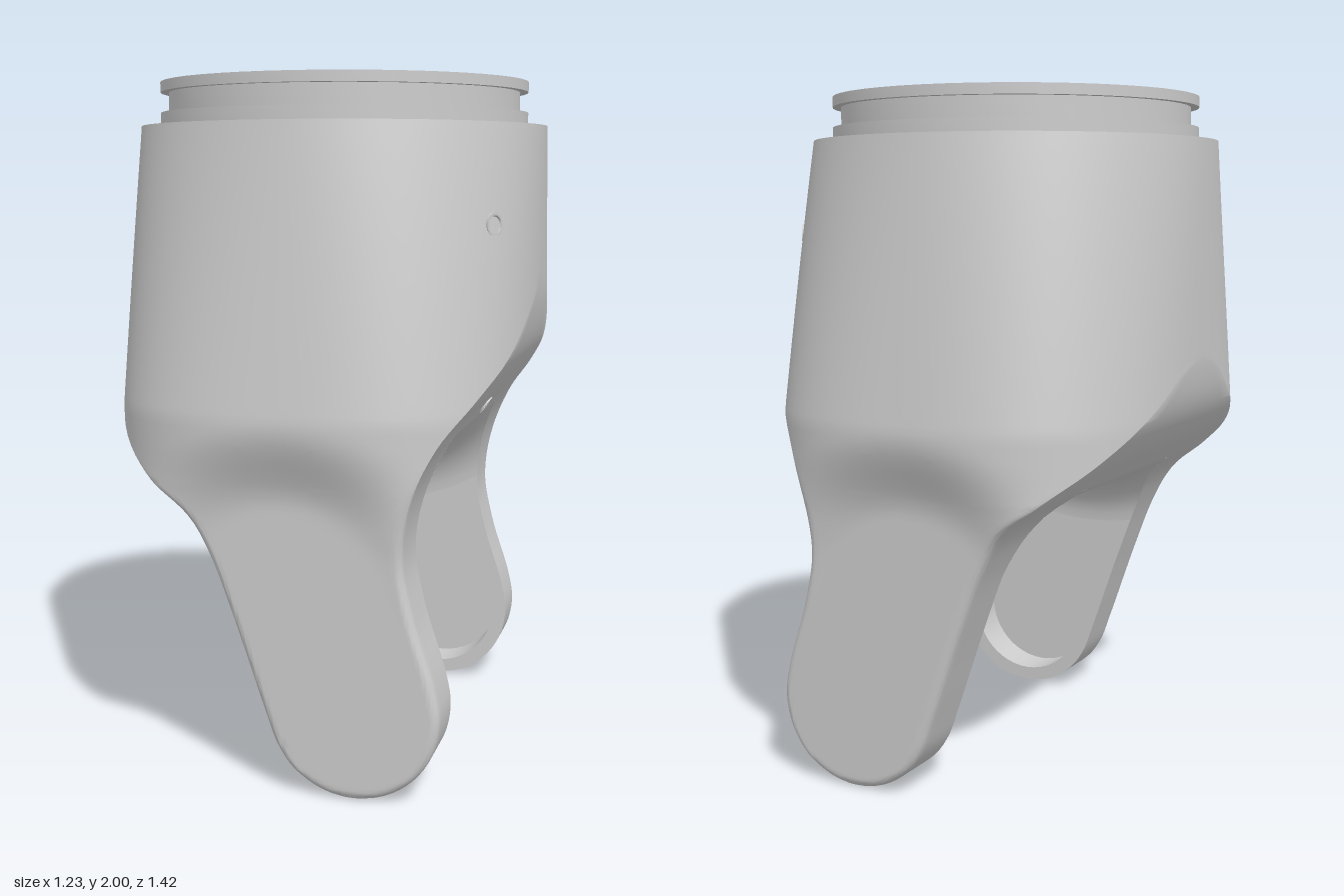
import * as THREE from 'three';
import { mergeGeometries, toCreasedNormals } from 'three/addons/utils/BufferGeometryUtils.js';

const mat = new THREE.MeshStandardMaterial({ color: 0xcccccc, side: THREE.DoubleSide });
const TIP = { x: 0.2, y: 0.245, r: 0.245 };      // rounded arm end
const BELLY = { x: -0.05, y: 1.4, r: 0.62, fillet: 0.17, flat: 0.3, z: 0.47 }; // rounded underside between the arms
const SPLIT_R = 1.0, SPLIT_L = 0.88;             // heights where the arms leave the underside
const TOP = 1.87, HALF = 0.613;

const steps = (n, a = 0, b = 1) => Array.from({ length: n + 1 }, (_, i) => a + (b - a) * i / n);

// x of a smooth side outline as a function of height
function outline(points) {
  const pts = new THREE.CatmullRomCurve3(points.map(([x, y]) => new THREE.Vector3(x, y, 0))).getSpacedPoints(400);
  return y => {
    let i = 1;
    while (i < pts.length - 1 && pts[i].y < y) i++;
    const a = pts[i - 1], b = pts[i];
    const k = THREE.MathUtils.clamp((y - a.y) / (b.y - a.y || 1), 0, 1);
    return THREE.MathUtils.clamp(a.x + (b.x - a.x) * k, -HALF, HALF);
  };
}
const leftEdge = outline([[0.2, 0], [0.11, 0.017], [0.03, 0.068], [-0.02, 0.135], [-0.06, 0.24], [-0.15, 0.5],
  [-0.22, 0.68], [-0.29, 0.8], [-0.388, 0.88], [-0.515, 0.99], [-0.583, 1.09], [-HALF, 1.23], [-HALF, 1.5], [-HALF, TOP]]);
const rightEdge = outline([[0.2, 0], [0.294, 0.019], [0.373, 0.072], [0.426, 0.151], [0.445, 0.245], [0.43, 0.34],
  [0.37, 0.53], [0.34, 0.69], [0.36, 0.85], [0.424, 1.0], [0.512, 1.12], [0.573, 1.22], [0.606, 1.35], [HALF, 1.5], [HALF, TOP]]);

// Outer half depth: rounded body blending into the flat arm
function outerZ(x, y) {
  const f = THREE.MathUtils.clamp((TOP - y) / 0.8, 0, 1);
  const n = 2 + 0.8 * f;
  const body = (0.61 + 0.1 * f) * Math.pow(Math.max(0, 1 - Math.pow(Math.min(1, Math.abs(x) / HALF), n)), 1 / n);
  const cx = Math.max(0, 0.75 - y) * 0.38;
  const d = Math.hypot(0.7 * (x - cx), Math.max(0, y - 0.65));
  const arm = 1 - THREE.MathUtils.smoothstep(d, 0.17, 0.41);
  let e = Math.min(x - leftEdge(y), rightEdge(y) - x);
  if (y < 0.07) e = Math.min(e, TIP.r - Math.hypot(x - TIP.x, y - TIP.y));
  const k = THREE.MathUtils.clamp(1 - e / 0.025, 0, 1);
  return body + (0.64 - body) * arm - 0.025 * arm * (1 - Math.sqrt(1 - k * k));
}

// Inner half depth of an arm, following the fillet below the underside
function innerZ(x, y) {
  const k = THREE.MathUtils.clamp((BELLY.r + BELLY.fillet - Math.hypot(x - BELLY.x, y - BELLY.y)) / BELLY.fillet, 0, 1);
  return BELLY.flat + (BELLY.z - BELLY.flat) * Math.sqrt(1 - k * k);
}

// Angles at which a circle about the underside's axis leaves the outline
const bellyPoint = (r, a) => [BELLY.x + r * Math.cos(a), BELLY.y + r * Math.sin(a)];
function crossing(r, outside) {
  let inside = -1.4;
  for (let i = 0; i < 30; i++) {
    const a = (inside + outside) / 2, [x, y] = bellyPoint(r, a);
    if (x > leftEdge(y) && x < rightEdge(y)) inside = a; else outside = a;
  }
  return inside;
}
const range = r => [crossing(r, Math.atan2(SPLIT_R - BELLY.y, 0.424 - BELLY.x)),
  crossing(r, Math.atan2(SPLIT_L - BELLY.y, -0.388 - BELLY.x))];

// Surface over two lists of parameters
function grid(us, vs, f) {
  const pos = [], idx = [], n = us.length;
  vs.forEach(v => us.forEach(u => pos.push(...f(u, v))));
  for (let j = 0; j < vs.length - 1; j++) for (let i = 0; i < n - 1; i++) {
    const a = j * n + i;
    idx.push(a, a + 1, a + n + 1, a, a + n + 1, a + n);
  }
  const g = new THREE.BufferGeometry();
  g.setAttribute('position', new THREE.Float32BufferAttribute(pos, 3));
  g.setIndex(idx);
  return g;
}

export function createModel() {
  const model = new THREE.Group();
  const add = (name, geometry, parent = model) => {
    const m = new THREE.Mesh(geometry, mat);
    m.name = name;
    parent.add(m);
    return m;
  };
  const lathe = (pts, seg = 48) =>
    toCreasedNormals(new THREE.LatheGeometry(pts.map(p => new THREE.Vector2(...p)), seg), 0.5);

  // Fork body: front and back skins, side walls and the underside
  const rows = [...steps(16, 0, Math.PI / 2).map(a => 0.24 * (1 - Math.cos(a))),
    ...steps(75, 0.24, TOP).slice(1), SPLIT_R, SPLIT_L].sort((a, b) => a - b);
  const skin = s => grid(steps(56), rows, (u, y) => {
    const l = leftEdge(y), r = rightEdge(y);
    const x = (l + r) / 2 - s * (r - l) / 2 * Math.cos(Math.PI * u);
    return [x, y, s * outerZ(x, y)];
  });
  const parts = [skin(1), skin(-1)];
  for (const [edge, split, s] of [[rightEdge, SPLIT_R, 1], [leftEdge, SPLIT_L, -1]]) {
    const upper = rows.filter(y => y >= split), lower = rows.filter(y => y <= split);
    const wall = (ys, from, to) => parts.push(grid(steps(8), ys, (u, y) => {
      const x = edge(y), a = from(x, y), b = to(x, y);
      return [x, y, s * (a + (b - a) * u)];
    }));
    wall(upper, outerZ, (x, y) => -outerZ(x, y));
    wall(lower, outerZ, innerZ);
    wall(lower, (x, y) => -innerZ(x, y), (x, y) => -outerZ(x, y));
  }
  const fillet = steps(10, 0, Math.PI / 2).map(a =>
    [BELLY.r + BELLY.fillet * (1 - Math.cos(a)), BELLY.flat + (BELLY.z - BELLY.flat) * Math.sin(a)]);
  const section = [...fillet.map(([r, z]) => [r, -z]).reverse(), ...fillet];
  const ranges = section.map(([r]) => range(r));
  parts.push(grid(steps(40), section.map((_, i) => i), (u, i) => {
    const [r, z] = section[i], [a0, a1] = ranges[i];
    return [...bellyPoint(r, a1 + (a0 - a1) * (1 - u)), z];
  }));
  add('forkBody', toCreasedNormals(mergeGeometries(parts), 0.5));

  // Inner arm faces with a round hub pocket
  const rIn = BELLY.r + BELLY.fillet, [a0, a1] = range(rIn);
  const below = a => rows.filter(y => y > 0 && y < bellyPoint(rIn, a)[1]);
  const face = new THREE.Shape([
    new THREE.Vector2(0.2, 0),
    ...below(a0).map(y => new THREE.Vector2(rightEdge(y), y)),
    ...steps(24, a0, a1).map(a => new THREE.Vector2(...bellyPoint(rIn, a))),
    ...below(a1).reverse().map(y => new THREE.Vector2(leftEdge(y), y)),
  ]);
  face.holes.push(new THREE.Path().absarc(TIP.x, TIP.y, 0.2, 0, Math.PI * 2, true));
  for (const s of [1, -1]) {
    const arm = new THREE.Group();
    arm.name = s > 0 ? 'frontArmInside' : 'backArmInside';
    model.add(arm);
    const inner = add('armInnerFace', new THREE.ShapeGeometry(face, 24), arm);
    inner.position.z = s * BELLY.z;
    const pocket = add('hubPocketWall', new THREE.CylinderGeometry(0.2, 0.2, 0.12, 48, 1, true), arm);
    pocket.rotation.x = Math.PI / 2;
    pocket.position.set(TIP.x, TIP.y, s * (BELLY.z + 0.06));
    const floor = add('hubPocketFloor', new THREE.CircleGeometry(0.2, 48), arm);
    floor.position.set(TIP.x, TIP.y, s * (BELLY.z + 0.12));
  }

  // Grooved collar with the hollow inside
  add('collar', lathe([[0.61, TOP], [0.555, TOP], [0.555, 1.91], [0.53, 1.91], [0.53, 1.97], [0.555, 1.97],
    [0.555, 2], [0.51, 2], [0.51, 1.15], [0, 1.15]]));
  add('innerRing', lathe([[0.43, 1.8], [0.43, 2], [0.41, 2], [0.41, 1.84]]));

  // Plate with a rounded square window and two curved slots
  const plate = new THREE.Shape().absarc(0, 0, 0.51, 0, Math.PI * 2, false);
  const w = 0.25, h = 0.265, c = 0.05;
  const win = new THREE.Path();
  win.moveTo(w, h - c);
  win.absarc(w - c, h - c, c, 0, Math.PI / 2, false);
  win.absarc(c - w, h - c, c, Math.PI / 2, Math.PI, false);
  win.absarc(c - w, c - h, c, Math.PI, Math.PI * 1.5, false);
  win.absarc(w - c, c - h, c, Math.PI * 1.5, Math.PI * 2, false);
  plate.holes.push(win);
  for (const turn of [0, Math.PI]) {
    const p = turn + 1.33, q = turn - 1.33, slot = new THREE.Path();
    slot.absarc(0, 0, 0.5, q, p, false);
    slot.absarc(0.465 * Math.cos(p), 0.465 * Math.sin(p), 0.035, p, p + Math.PI, false);
    slot.absarc(0, 0, 0.43, p, q, true);
    slot.absarc(0.465 * Math.cos(q), 0.465 * Math.sin(q), 0.035, q + Math.PI, q + Math.PI * 2, false);
    plate.holes.push(slot);
  }
  const plateGeo = new THREE.ExtrudeGeometry(plate, { depth: 0.04, bevelEnabled: false, curveSegments: 24 });
  add('windowPlate', plateGeo.rotateX(-Math.PI / 2).translate(0, 1.8, 0));

  // Ridged bar under the window and rails on the floor of the hollow
  add('innerBar', new THREE.BoxGeometry(0.92, 0.06, 0.33)).position.set(-0.04, 1.73, 0);
  for (const [name, r, len, x, y, z] of [['barRidge', 0.045, 0.92, -0.04, 1.74, 0],
    ['frontRail', 0.045, 0.68, 0, 1.15, 0.365], ['backRail', 0.045, 0.68, 0, 1.15, -0.365]]) {
    const rod = add(name, new THREE.CylinderGeometry(r, r, len, 16));
    rod.rotation.z = Math.PI / 2;
    rod.position.set(x, y, z);
  }

  // Screws along the x side, set flush in their seats
  const screw = lathe([[0.034, -0.04], [0.034, 0.003], [0.026, 0.003], [0.02, -0.008], [0.012, -0.008], [0.012, -0.02], [0, -0.02]], 20);
  for (const [x, y, z, yaw, tilt] of [[0.53, 1.59, 0.37, -0.51, 0], [0.53, 1.59, -0.37, 0.51, 0], [0.446, 1.03, 0, 0, -0.64]]) {
    const m = add('screw', screw);
    m.rotation.set(0, yaw, -Math.PI / 2 + tilt, 'YXZ');
    m.position.set(x, y, z);
  }
  return model;
}
